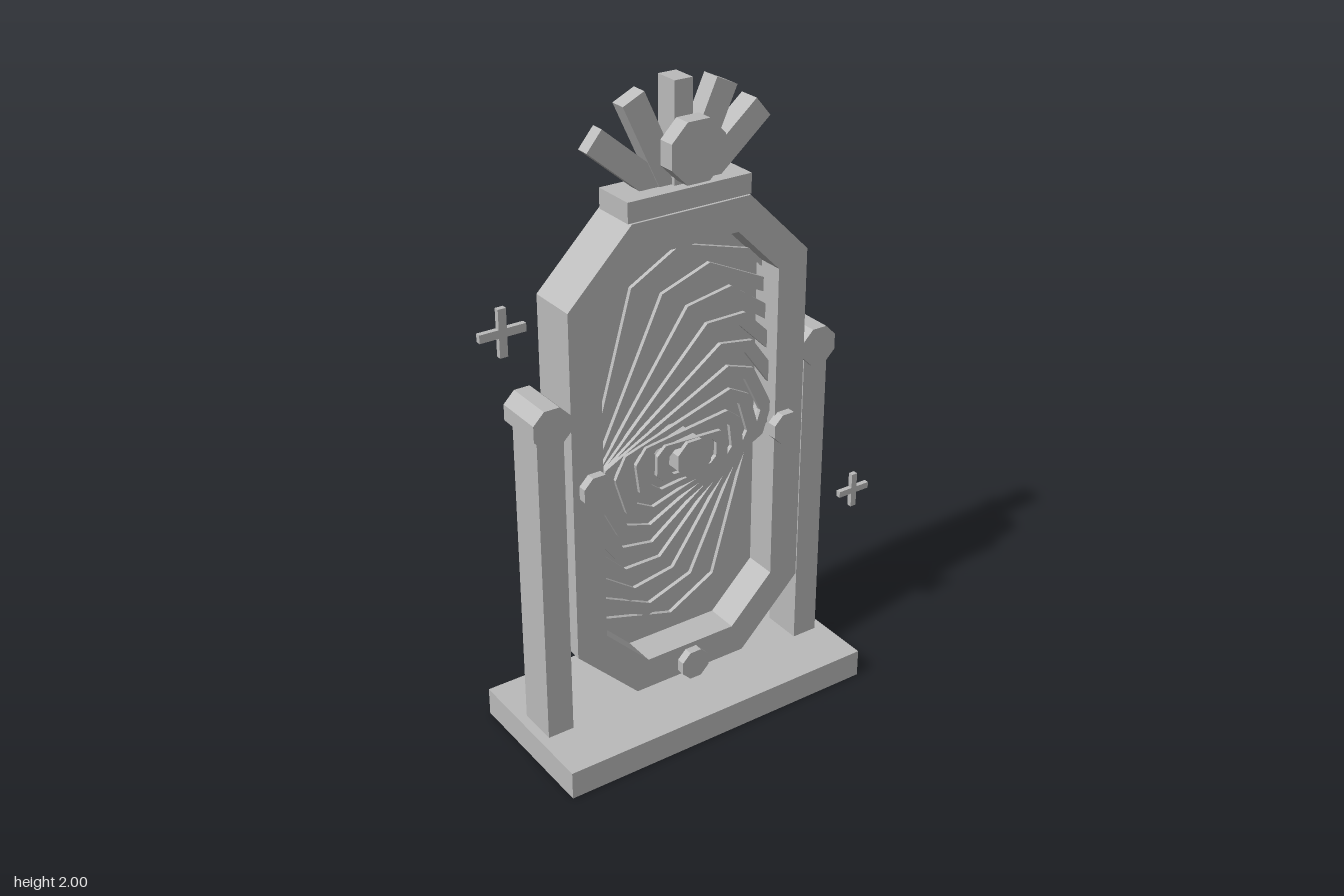
import * as THREE from 'three';

const CX = -0.005, CY = 0.895; // centre of the mirror

// corner points of an upright octagon with cut corners
function octagon(w, h, cut) {
  return [[w, h - cut], [w - cut, h], [cut - w, h], [-w, h - cut],
    [-w, cut - h], [cut - w, -h], [w - cut, -h], [w, cut - h]]
    .map(([x, y]) => new THREE.Vector2(x, y));
}

export function createModel() {
  const group = new THREE.Group();
  const grey = new THREE.MeshStandardMaterial({ color: 0xbbbbbb, flatShading: true });
  grey.name = 'stone grey';

  function add(name, geometry, x, y, z, turn = 0) {
    const mesh = new THREE.Mesh(geometry, grey);
    mesh.name = name;
    mesh.position.set(x, y, z);
    mesh.rotation.z = turn;
    group.add(mesh);
    return mesh;
  }
  const box = (name, w, h, d, x, y, z) => add(name, new THREE.BoxGeometry(w, h, d), x, y, z);

  // eight-sided disc facing the front
  function disc(name, r, z0, z1, x, y) {
    const g = new THREE.CylinderGeometry(r, r, z1 - z0, 8);
    g.rotateY(Math.PI / 8).rotateX(Math.PI / 2);
    return add(name, g, x, y, (z0 + z1) / 2);
  }

  // octagonal plate from z0 to z1, with an optional hole
  function plate(name, outer, inner, z0, z1, turn = 0) {
    const shape = new THREE.Shape(outer);
    if (inner) shape.holes.push(new THREE.Path(inner));
    const g = new THREE.ExtrudeGeometry(shape, { depth: z1 - z0, bevelEnabled: false });
    return add(name, g, CX, CY, z0, turn);
  }

  // stand
  box('base', 1.065, 0.09, 0.49, -0.003, 0.045, 0);
  for (const side of [-1, 1]) {
    const x = CX + side * 0.458;
    box('post', 0.085, 1.03, 0.13, x, 0.6, 0);
    disc('pivotKnob', 0.064, -0.08, 0.08, x, 1.12);
  }

  // frame and back panel
  const opening = octagon(0.3, 0.655, 0.145);
  plate('frame', octagon(0.4, 0.755, 0.205), opening, -0.08, 0.08);
  plate('backPanel', opening, null, -0.068, -0.025);

  // spiral of shrinking, turning rings rising to the front
  for (let k = 0; k < 9; k++) {
    const s = 0.93 - 0.0925 * k, t = s - 0.062;
    const z = -0.014 + 0.011 * k;
    plate('spiralRing', octagon(0.31 * s, 0.65 * s, 0.145 * s),
      octagon(0.31 * t, 0.65 * t, 0.145 * t), z, z + 0.013,
      -THREE.MathUtils.degToRad(16 + 9.5 * k));
  }
  disc('centreBoss', 0.062, -0.03, 0.1, CX - 0.003, CY);

  // studs on the frame
  disc('stud', 0.053, 0.075, 0.107, CX - 0.33, CY);
  disc('stud', 0.053, 0.075, 0.107, CX + 0.33, CY);
  disc('stud', 0.051, 0.075, 0.107, CX, 0.177);

  // crest with a fan of rays
  box('crestBlock', 0.405, 0.06, 0.14, CX, 1.68, 0.002);
  [0.042, 0.05, 0.078, 0.06, 0.068].forEach((depth, i) => {
    const g = new THREE.BoxGeometry(i === 2 ? 0.058 : 0.074, 0.35, depth);
    g.translate(0, 0.175, 0);
    add('crestRay', g, CX, 1.65, -0.002, THREE.MathUtils.degToRad(25 * (2 - i)));
  });
  disc('crestGem', 0.094, 0.055, 0.108, CX, 1.82);

  // floating sparkles
  for (const [x, y, size, bar] of [[-0.603, 1.445, 0.138, 0.024], [0.612, 0.58, 0.114, 0.02]]) {
    box('sparkleBar', size, bar, 0.016, x, y, 0.08);
    box('sparkleUpright', bar, size, 0.016, x, y, 0.08);
  }
  return group;
}
